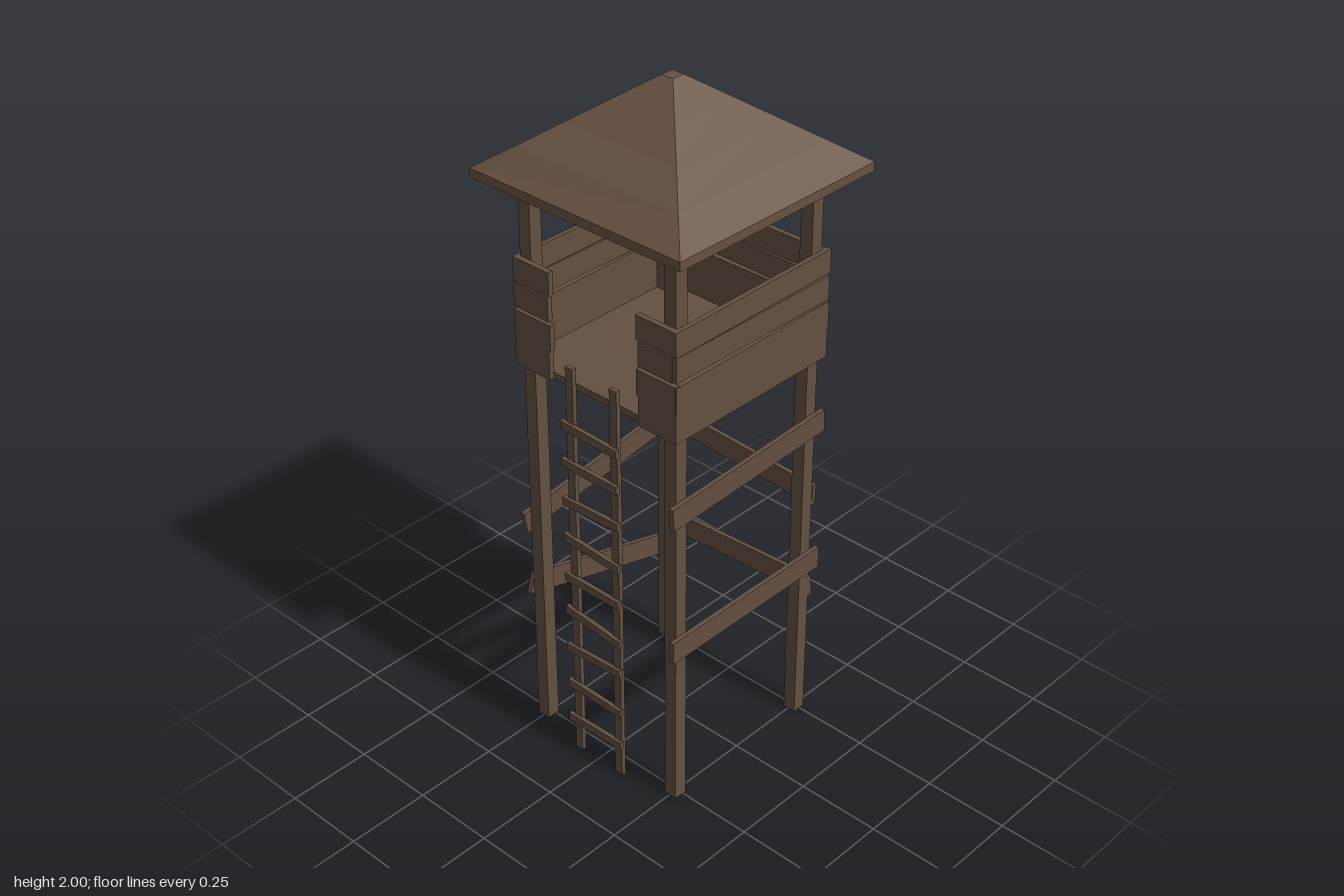
import * as THREE from 'three';

export function createModel() {
  const tower = new THREE.Group();
  const material = (name, color) => {
    const m = new THREE.MeshStandardMaterial({ color, flatShading: true });
    m.name = name;
    return m;
  };
  const wood = material('brown wood', 0x635040);
  const braceWood = material('reddish brown wood', 0x644e40);
  const roofWood = material('roof brown', 0x665141);

  const add = (name, geometry, mat, x, y, z, parent = tower) => {
    const mesh = new THREE.Mesh(geometry, mat);
    mesh.name = name;
    mesh.position.set(x, y, z);
    parent.add(mesh);
    return mesh;
  };
  const box = (name, w, h, d, x, y, z, parent, mat = wood) =>
    add(name, new THREE.BoxGeometry(w, h, d), mat, x, y, z, parent);

  // Plank along x, from (x0, y0) to (x1, y1) at depth z
  const plankX = (name, x0, y0, x1, y1, z, h, t, parent, mat) => {
    const p = box(name, Math.hypot(x1 - x0, y1 - y0), h, t, (x0 + x1) / 2, (y0 + y1) / 2, z, parent, mat);
    p.rotation.z = Math.atan2(y1 - y0, x1 - x0);
    return p;
  };
  // Plank along z, from (z0, y0) to (z1, y1) at side x
  const plankZ = (name, z0, y0, z1, y1, x, h, t, parent, mat) => {
    const p = box(name, t, h, Math.hypot(z1 - z0, y1 - y0), x, (y0 + y1) / 2, (z0 + z1) / 2, parent, mat);
    p.rotation.x = -Math.atan2(y1 - y0, z1 - z0);
    return p;
  };
  const group = (name) => {
    const g = new THREE.Group();
    g.name = name;
    tower.add(g);
    return g;
  };

  // Corner posts
  const posts = group('posts');
  for (const x of [-0.25, 0.253])
    for (const z of [-0.247, 0.26]) box('post', 0.04, 1.74, 0.04, x, 0.87, z, posts);

  // Platform
  box('floor', 0.545, 0.02, 0.55, 0, 1.2, 0.007);

  // Railing boards: four rows on each side, front split by the entrance
  const rails = group('railing');
  const rows = [
    { y: 1.235, h: 0.09, l: -0.285, r: 0.288, tilt: 0 },
    { y: 1.316, h: 0.078, l: -0.285, r: 0.285, tilt: 0.002 },
    { y: 1.4, h: 0.072, l: -0.275, r: 0.275, tilt: -0.002 },
    { y: 1.475, h: 0.07, l: -0.283, r: 0.288, tilt: 0.001 },
  ];
  rows.forEach(({ y, h, l, r, tilt }, i) => {
    const shift = i % 2 ? 0.006 : 0;
    plankX('backBoard', l, y - tilt, r, y + tilt, -0.275, h, 0.016, rails);
    plankX('frontBoardRight', l, y, -0.158 + shift, y, 0.288, h, 0.016, rails);
    plankX('frontBoardLeft', 0.158 - shift, y, r, y, 0.288, h, 0.016, rails);
    for (const x of [-0.277, 0.281])
      plankZ('sideBoard', 0.295, y - tilt, -0.285 - shift / 2, y + tilt, x, h, 0.014, rails);
  });

  // Crooked braces between the posts
  const braces = group('braces');
  const h = 0.067, t = 0.014;
  plankZ('leftBraceUpper', 0.305, 0.962, -0.29, 0.988, 0.281, h, t, braces, braceWood);
  plankZ('leftBraceLower', 0.305, 0.533, -0.29, 0.533, 0.281, h, t, braces, braceWood);
  plankZ('rightBraceUpper', 0.3, 0.683, -0.285, 0.763, -0.276, h, t, braces, braceWood);
  plankZ('rightBraceLower', 0.285, 0.47, -0.285, 0.315, -0.276, h, t, braces, braceWood);
  plankX('backBraceUpper', -0.275, 0.773, 0.275, 0.746, -0.274, h, t, braces, braceWood);
  plankX('backBraceLower', -0.275, 0.408, 0.272, 0.435, -0.274, h, t, braces, braceWood);

  // Ladder with slightly uneven rungs
  const ladder = group('ladder');
  for (const x of [-0.072, 0.085]) box('ladderRail', 0.026, 1.27, 0.014, x, 0.635, 0.305, ladder);
  const rungs = [
    [0.11, 0.002], [0.23, -0.002], [0.363, 0.005], [0.48, -0.01], [0.602, 0],
    [0.728, -0.006], [0.855, 0.004], [0.975, 0], [1.09, -0.003],
  ];
  for (const [y, tilt] of rungs)
    plankX('ladderRung', -0.1, y - tilt, 0.102, y + tilt, 0.315, 0.025, 0.013, ladder);

  // Roof: eaves slab and a hipped frustum, one hip bulging a little
  box('eaves', 0.716, 0.026, 0.716, 0, 1.743, 0, tower, roofWood);
  const hip = new THREE.CylinderGeometry(0.02 * Math.SQRT2, 0.358 * Math.SQRT2, 0.244, 4, 4);
  hip.rotateY(Math.PI / 4);
  const p = hip.attributes.position;
  for (let i = 0; i < p.count; i++) {
    const inner = Math.abs(p.getY(i) + 0.061) < 0.01;
    if (inner && p.getX(i) < -0.1 && p.getZ(i) > 0.1)
      p.setXYZ(i, -0.267, p.getY(i) + 0.003, 0.284);
  }
  hip.computeVertexNormals();
  add('roof', hip, roofWood, 0, 1.878, 0);

  return tower;
}
